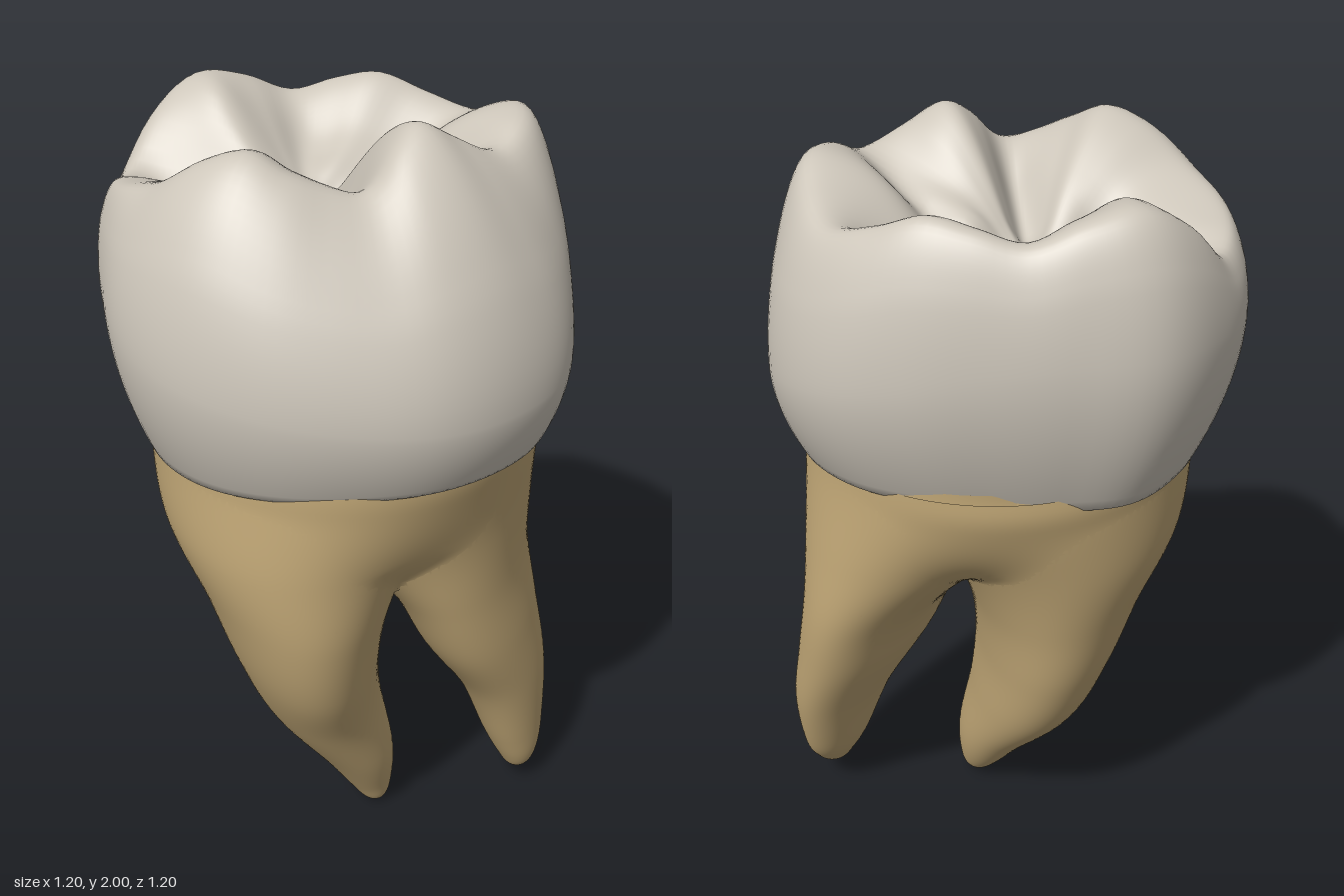
import * as THREE from 'three';

const SEG = 120;
const { lerp, clamp, smoothstep } = THREE.MathUtils;

// Stitches rings of points (bottom to top, each closed) into a smooth surface.
function loft(rings) {
  const pos = [], index = [];
  rings.forEach((ring) => ring.forEach((p) => pos.push(...p)));
  for (let i = 0; i < rings.length - 1; i++) {
    for (let j = 0; j < SEG; j++) {
      const k = (j + 1) % SEG;
      const a = i * SEG + j, b = a + SEG, c = i * SEG + k, d = c + SEG;
      index.push(a, b, c, c, b, d);
    }
  }
  const g = new THREE.BufferGeometry();
  g.setAttribute('position', new THREE.Float32BufferAttribute(pos, 3));
  g.setIndex(index);
  g.computeVertexNormals();
  return g;
}

const makeRing = (fn) => Array.from({ length: SEG }, (_, j) => fn((j / SEG) * Math.PI * 2));

// Rounds the profile by averaging each ring with its neighbours.
function relax(rings, from, to, passes) {
  for (let n = 0; n < passes; n++) {
    const old = rings.slice();
    for (let i = from; i <= to; i++) {
      rings[i] = old[i].map((p, j) => p.map((v, k) => (old[i - 1][j][k] + 2 * v + old[i + 1][j][k]) / 4));
    }
  }
}

// Smooth periodic lookup by angle through evenly spaced values.
function around(values) {
  const curve = new THREE.CatmullRomCurve3(
    values.map((v) => new THREE.Vector3(v[0], v[1] || 0, 0)), true, 'catmullrom', 0.5);
  return (angle) => curve.getPoint(angle / (Math.PI * 2));
}

// Widest outline of the crown, radius every 20 degrees from +x towards +z.
const belly = around([0.6, 0.6, 0.59, 0.595, 0.6, 0.59, 0.565, 0.575, 0.59,
  0.6, 0.545, 0.525, 0.55, 0.59, 0.6, 0.58, 0.585, 0.6].map((r) => [r]));

// Cusp rim, [radius, height] every 15 degrees.
const rim = around([
  [0.29, 2.006], [0.30, 1.97], [0.32, 1.90], [0.34, 1.905], [0.37, 1.94], [0.38, 1.98],
  [0.41, 1.95], [0.45, 1.88], [0.49, 1.84], [0.51, 1.81], [0.51, 1.79], [0.50, 1.90],
  [0.49, 1.965], [0.47, 1.945], [0.45, 1.90], [0.44, 1.93], [0.44, 1.95], [0.46, 1.91],
  [0.49, 1.88], [0.48, 1.92], [0.47, 1.965], [0.45, 1.955], [0.39, 1.92], [0.32, 1.965],
]);

// Chewing surface: x0, z0, x1, z1, depth, width (negative depth is a ridge).
const grooves = [
  [0.0, -0.18, 0.34, -0.22, 0.05, 0.045],
  [0.0, 0.05, 0.30, 0.18, 0.05, 0.055],
  [-0.42, 0.24, -0.14, 0.16, 0.06, 0.05],
  [-0.12, 0.15, -0.09, -0.06, 0.03, 0.05],
  [-0.09, -0.06, -0.01, -0.38, 0.03, 0.05],
  [-0.22, -0.2, -0.12, -0.32, 0.06, 0.11],
  [-0.42, 0.04, -0.2, 0.06, -0.04, 0.06],
  [0.02, -0.08, 0.24, -0.06, -0.03, 0.06],
];

function grooveDepth(x, z) {
  let sum = 0;
  for (const [x0, z0, x1, z1, depth, width] of grooves) {
    const dx = x1 - x0, dz = z1 - z0;
    const t = clamp(((x - x0) * dx + (z - z0) * dz) / (dx * dx + dz * dz), 0, 1);
    const d = Math.hypot(x - x0 - t * dx, z - z0 - t * dz);
    sum += depth * Math.exp(-((d / width) ** 2));
  }
  return sum;
}

function crownGeometry() {
  const rings = [];
  const pit = { x: -0.1, y: 1.74, z: -0.01 };
  const bellyY = (a) => 1.52 - 0.11 * Math.cos(a);
  const neckY = (a) => 1.245 - 0.015 * Math.sin(a) + 0.008 * Math.sin(3 * a);
  const neckR = (a) => belly(a).x * (0.872 + 0.053 * Math.cos(a));
  const at = (r, y, a) => [r * Math.cos(a), y, r * Math.sin(a)];

  // small inward lip that closes the neck against the roots
  rings.push(makeRing((a) => at(neckR(a) * 0.92, neckY(a) - 0.006, a)));
  // neck up to the widest line
  for (let i = 0; i <= 12; i++) {
    const t = 1 - i / 12;
    rings.push(makeRing((a) => {
      const R = belly(a).x;
      return at(R - (R - neckR(a)) * t ** 1.8, lerp(bellyY(a), neckY(a), t), a);
    }));
  }
  // widest line over the shoulder to the rim, rounder on the -x side
  for (let i = 1; i <= 18; i++) {
    const q = (1 - i / 18) * Math.PI / 2;
    rings.push(makeRing((a) => {
      const e = rim(a), y0 = bellyY(a);
      const f = lerp(1 - Math.sin(q), Math.cos(q), 0.75 - 0.15 * Math.cos(a));
      return at(e.x + (belly(a).x - e.x) * Math.sin(q), y0 + (e.y - y0) * f, a);
    }));
  }
  // rim down into the central pit
  for (let i = 1; i <= 30; i++) {
    const s = i / 30;
    rings.push(makeRing((a) => {
      const e = rim(a);
      const x = lerp(e.x * Math.cos(a), pit.x, s);
      const z = lerp(e.x * Math.sin(a), pit.z, s);
      const y = pit.y + (e.y - pit.y) * Math.cos(s * Math.PI / 2) ** 1.8;
      return [x, y - grooveDepth(x, z) * Math.min(1, s * 3), z];
    }));
  }
  relax(rings, 22, 46, 6);
  return loft(rings);
}

// Root from elliptical sections [y, centre x, centre z, half thickness, half width].
function makeRoot(levels, degrees) {
  const c = Math.cos(degrees * Math.PI / 180), s = Math.sin(degrees * Math.PI / 180);
  const spline = (fn) => new THREE.CatmullRomCurve3(levels.map(fn), false, 'catmullrom', 0.5);
  const centre = spline((l) => new THREE.Vector3(l[1], l[0], l[2]));
  const size = spline((l) => new THREE.Vector3(l[3], l[4], 0));
  const rings = [];
  for (let i = 0; i <= 64; i++) {
    const p = centre.getPoint(i / 64), h = size.getPoint(i / 64);
    rings.push(makeRing((a) => {
      const w = h.y * Math.cos(a), t = h.x * Math.sin(a);
      return [p.x + w * c - t * s, p.y, p.z + w * s + t * c];
    }));
  }
  // section at a given height, with the distance to its edge along a ray
  const sectionAt = (y) => {
    let lo = 0, hi = 1;
    for (let n = 0; n < 24; n++) {
      const mid = (lo + hi) / 2;
      if (centre.getPoint(mid).y < y) lo = mid; else hi = mid;
    }
    const p = centre.getPoint(lo), h = size.getPoint(lo);
    const reach = (ox, oz, a) => {
      const dx = Math.cos(a), dz = Math.sin(a), x = ox - p.x, z = oz - p.z;
      const dw = (dx * c + dz * s) / h.y, dt = (dz * c - dx * s) / h.x;
      const w = (x * c + z * s) / h.y, t = (z * c - x * s) / h.x;
      const A = dw * dw + dt * dt, B = w * dw + t * dt, C = w * w + t * t - 1;
      return Math.max(0, (-B + Math.sqrt(Math.max(0, B * B - A * C))) / A);
    };
    return { p, reach };
  };
  return { geometry: loft(rings), sectionAt };
}

// Trunk above the fork: the two root sections blended into one outline.
function trunkGeometry(front, back) {
  const rings = [];
  for (let i = 0; i <= 30; i++) {
    const y = lerp(0.87, 1.28, i / 30);
    const f = front.sectionAt(y), b = back.sectionAt(y);
    const ox = (f.p.x + b.p.x) / 2, oz = (f.p.z + b.p.z) / 2;
    const k = 0.001 + 0.15 * smoothstep(y, 0.86, 1.02) * (1 - 0.5 * smoothstep(y, 1.0, 1.2));
    rings.push(makeRing((a) => {
      const r1 = f.reach(ox, oz, a), r2 = b.reach(ox, oz, a);
      const h = Math.max(k - Math.abs(r1 - r2), 0) / k;
      const r = Math.max(r1, r2) + h * h * k / 4;
      return [ox + r * Math.cos(a), y, oz + r * Math.sin(a)];
    }));
  }
  return loft(rings);
}

const frontRootLevels = [
  [0, 0.165, 0, 0.001, 0.001], [0.02, 0.16, 0, 0.036, 0.046],
  [0.08, 0.14, 0.005, 0.068, 0.09], [0.2, 0.105, 0.03, 0.11, 0.165],
  [0.4, 0.03, 0.09, 0.165, 0.285], [0.6, 0.01, 0.135, 0.2, 0.38],
  [0.8, 0, 0.15, 0.25, 0.43], [1.0, -0.01, 0.13, 0.34, 0.46],
  [1.2, 0.02, 0.05, 0.44, 0.49], [1.3, 0.03, 0.03, 0.46, 0.49],
];

const backRootLevels = [
  [0.05, 0.395, -0.36, 0.001, 0.001], [0.065, 0.39, -0.36, 0.034, 0.042],
  [0.11, 0.38, -0.365, 0.06, 0.08], [0.2, 0.355, -0.365, 0.088, 0.13],
  [0.4, 0.315, -0.345, 0.125, 0.21], [0.6, 0.265, -0.285, 0.165, 0.30],
  [0.8, 0.215, -0.235, 0.2, 0.36], [1.0, 0.14, -0.15, 0.31, 0.41],
  [1.2, 0.06, -0.035, 0.45, 0.48], [1.3, 0.05, -0.02, 0.46, 0.49],
];

export function createModel() {
  const enamel = new THREE.MeshStandardMaterial({ color: 0xcdc6ba });
  enamel.name = 'enamel';
  const dentine = new THREE.MeshStandardMaterial({ color: 0xc2a877 });
  dentine.name = 'root dentine';

  const group = new THREE.Group();
  group.name = 'molarTooth';
  const add = (name, geometry, material) => {
    const mesh = new THREE.Mesh(geometry, material);
    mesh.name = name;
    group.add(mesh);
  };
  const front = makeRoot(frontRootLevels, 34), back = makeRoot(backRootLevels, 55);
  add('crown', crownGeometry(), enamel);
  add('frontRoot', front.geometry, dentine);
  add('backRoot', back.geometry, dentine);
  add('rootTrunk', trunkGeometry(front, back), dentine);
  return group;
}
